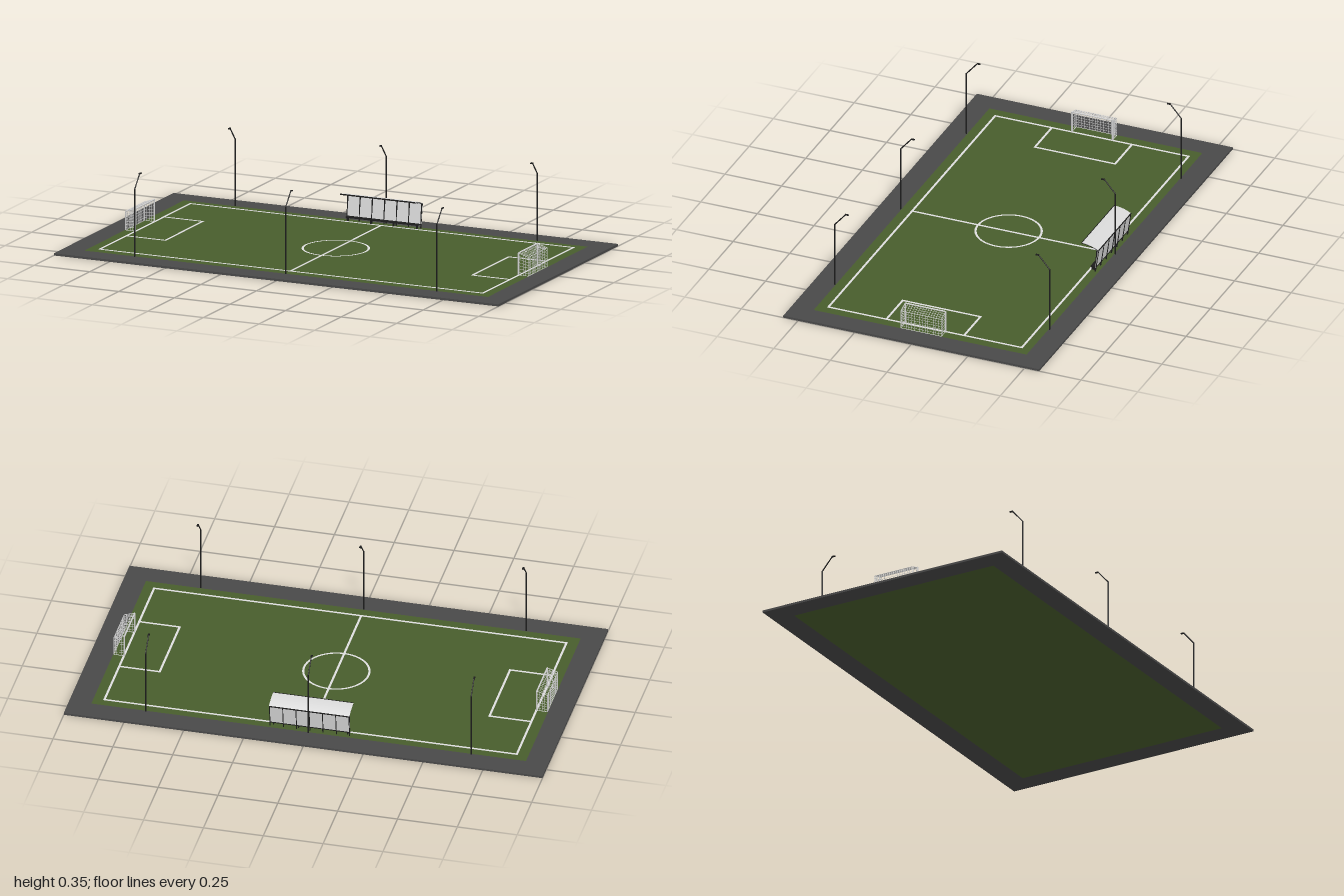
import * as THREE from 'three';
import { mergeGeometries } from 'three/addons/utils/BufferGeometryUtils.js';

const mat = (name, color, side = THREE.FrontSide) => {
  const m = new THREE.MeshStandardMaterial({ color, side });
  m.name = name;
  return m;
};

const TOP = 0.009; // height of the playing surface

// box given by its centre and size
const box = (x, y, z, w, h, d) => new THREE.BoxGeometry(w, h, d).translate(x, y, z);

// thin round bar between two points
function bar(a, b, r, sides = 6) {
  const from = new THREE.Vector3(...a), to = new THREE.Vector3(...b);
  const dir = to.clone().sub(from);
  const g = new THREE.CylinderGeometry(r, r, dir.length(), sides);
  g.applyQuaternion(new THREE.Quaternion().setFromUnitVectors(new THREE.Vector3(0, 1, 0), dir.normalize()));
  return g.translate(...from.add(to).multiplyScalar(0.5).toArray());
}

// side profile (z, y) extruded along x, centred on x
function profile(points, width, x) {
  const shape = new THREE.Shape(points.map(([z, y]) => new THREE.Vector2(-z, y)));
  return new THREE.ExtrudeGeometry(shape, { depth: width, bevelEnabled: false })
    .translate(0, 0, -width / 2).rotateY(Math.PI / 2).translate(x, 0, 0);
}

export function createModel() {
  const model = new THREE.Group();
  const asphalt = mat('asphalt', 0x494949);
  const grass = mat('grass', 0x485d2c);
  const white = mat('line white', 0xdddddd, THREE.DoubleSide);
  const netWhite = mat('goal white', 0xd4d4d4);
  const black = mat('metal black', 0x1c1c1c);
  const panel = mat('shelter panel', 0xd8d8d8, THREE.DoubleSide);

  const add = (name, parts, material, parent = model) => {
    const list = [].concat(parts);
    const mesh = new THREE.Mesh(list.length > 1 ? mergeGeometries(list) : list[0], material);
    mesh.name = name;
    parent.add(mesh);
    return mesh;
  };

  // paved surround and grass inset
  const GX = 0.908, GZ = 0.47, BZ = 0.565;
  add('surround', [1, -1].flatMap((s) => [
    box(0, TOP / 2, s * (GZ + BZ) / 2, 2, TOP, BZ - GZ),
    box(s * (GX + 1) / 2, TOP / 2, 0, 1 - GX, TOP, GZ * 2),
  ]), asphalt);
  add('grass', box(0, TOP / 2, 0, GX * 2, TOP, GZ * 2), grass);

  // pitch markings
  const W = 0.009;
  const line = (x0, z0, x1, z1) =>
    box((x0 + x1) / 2, TOP + 0.0006, (z0 + z1) / 2, Math.abs(x1 - x0) + W, 0.0012, Math.abs(z1 - z0) + W);
  const rect = (x0, z0, x1, z1) => [
    line(x0, z0, x1, z0), line(x0, z1, x1, z1), line(x0, z0, x0, z1), line(x1, z0, x1, z1),
  ];
  add('pitchLines', [
    ...rect(-0.86, -0.43, 0.863, 0.424),
    ...rect(-0.86, -0.18, -0.685, 0.174),
    ...rect(0.694, -0.175, 0.863, 0.168),
    line(-0.002, -0.43, -0.002, 0.424),
  ], white);
  add('centreCircle', new THREE.RingGeometry(0.13, 0.139, 48).rotateX(-Math.PI / 2)
    .translate(-0.002, TOP + 0.0014, -0.002), white);

  // goals: front frame, rear stays and net
  for (const s of [-1, 1]) {
    const goal = new THREE.Group();
    goal.name = s < 0 ? 'rightGoal' : 'leftGoal';
    model.add(goal);
    const xf = s * 0.862, xb = s * 0.906, z0 = -0.093, z1 = 0.086, yf = 0.102, yb = 0.088;
    const frame = [bar([xf, yf, z0], [xf, yf, z1], 0.0035)];
    frame.push(bar([xb, TOP, z0], [xb, TOP, z1], 0.0015), bar([xb, yb, z0], [xb, yb, z1], 0.0015));
    for (const z of [z0, z1]) {
      frame.push(bar([xf, TOP, z], [xf, yf, z], 0.0035));
      frame.push(bar([xf, yf, z], [xb, yb, z], 0.0015), bar([xb, yb, z], [xb, TOP, z], 0.0015));
      frame.push(bar([xf, TOP, z], [xb, TOP, z], 0.0015));
    }
    add('goalFrame', frame, netWhite, goal);

    const net = [], r = 0.0009;
    for (let i = 1; i < 15; i++) { // back uprights and roof cords
      const z = z0 + (z1 - z0) * i / 15;
      net.push(bar([xb, TOP, z], [xb, yb, z], r, 4), bar([xb, yb, z], [xf, yf, z], r, 4));
    }
    for (let i = 1; i < 7; i++) { // level cords around back and sides
      const t = i / 7, y = TOP + (yb - TOP) * t, y2 = TOP + (yf - TOP) * t;
      net.push(bar([xb, y, z0], [xb, y, z1], r, 4));
      for (const z of [z0, z1]) net.push(bar([xb, y, z], [xf, y2, z], r, 4));
    }
    for (let i = 1; i < 4; i++) { // roof cross cords and side uprights
      const x = xf + (xb - xf) * i / 4, y = yf + (yb - yf) * i / 4;
      net.push(bar([x, y, z0], [x, y, z1], r, 4));
      for (const z of [z0, z1]) net.push(bar([x, TOP, z], [x, y, z], r, 4));
    }
    add('goalNet', net, netWhite, goal);
  }

  // floodlights: mast, slanted arm, level lamp head
  for (const x of [-0.68, 0, 0.68]) for (const s of [-1, 1]) {
    const z = s * 0.474, zt = s * 0.426, R = 0.0032;
    add('floodlight', [
      bar([x, TOP, z], [x, 0.29, z], R, 8),
      bar([x, 0.289, z], [x, 0.345, zt], 0.0025, 8),
      box(x, 0.345, s * 0.42, 0.007, 0.004, 0.015),
    ], black);
  }

  // team shelter with curved roof
  const shelter = new THREE.Group();
  shelter.name = 'shelter';
  model.add(shelter);
  const CX = -0.002, LEN = 0.336;
  const roofCurve = new THREE.QuadraticBezierCurve(
    new THREE.Vector2(-0.397, 0.130), new THREE.Vector2(-0.438, 0.128), new THREE.Vector2(-0.471, 0.109));
  const roofStrip = (t, lift) => {
    const pts = roofCurve.getPoints(10).map((p) => [p.x, p.y + lift]);
    return [...pts, ...pts.slice().reverse().map(([z, y]) => [z, y - t])];
  };
  add('roof', profile(roofStrip(0.002, 0.001), LEN, CX), panel, shelter);
  add('backPanel', profile([[-0.470, 0.109], [-0.468, 0.109], [-0.455, 0.026], [-0.457, 0.026]], LEN, CX), panel, shelter);

  const ribs = [];
  for (let i = 0; i <= 6; i++) {
    const x = CX + (i / 6 - 0.5) * (LEN - 0.004);
    ribs.push(profile([[-0.472, 0.110], [-0.461, 0.113], [-0.453, TOP], [-0.458, TOP]], 0.003, x));
    ribs.push(profile(roofStrip(0.003, -0.001), 0.003, x));
  }
  add('ribs', ribs, black, shelter);
  add('rails', [
    box(CX, 0.1295, -0.397, LEN, 0.005, 0.003),
    box(CX, 0.109, -0.470, LEN, 0.004, 0.004),
    box(CX, 0.026, -0.456, LEN, 0.004, 0.004),
  ], black, shelter);
  add('bench', [
    box(CX, 0.026, -0.442, LEN - 0.01, 0.004, 0.018),
    ...[-0.155, -0.05, 0.05, 0.155].map((x) => box(x + CX, 0.017, -0.442, 0.004, 0.016, 0.012)),
  ], black, shelter);

  return model;
}
